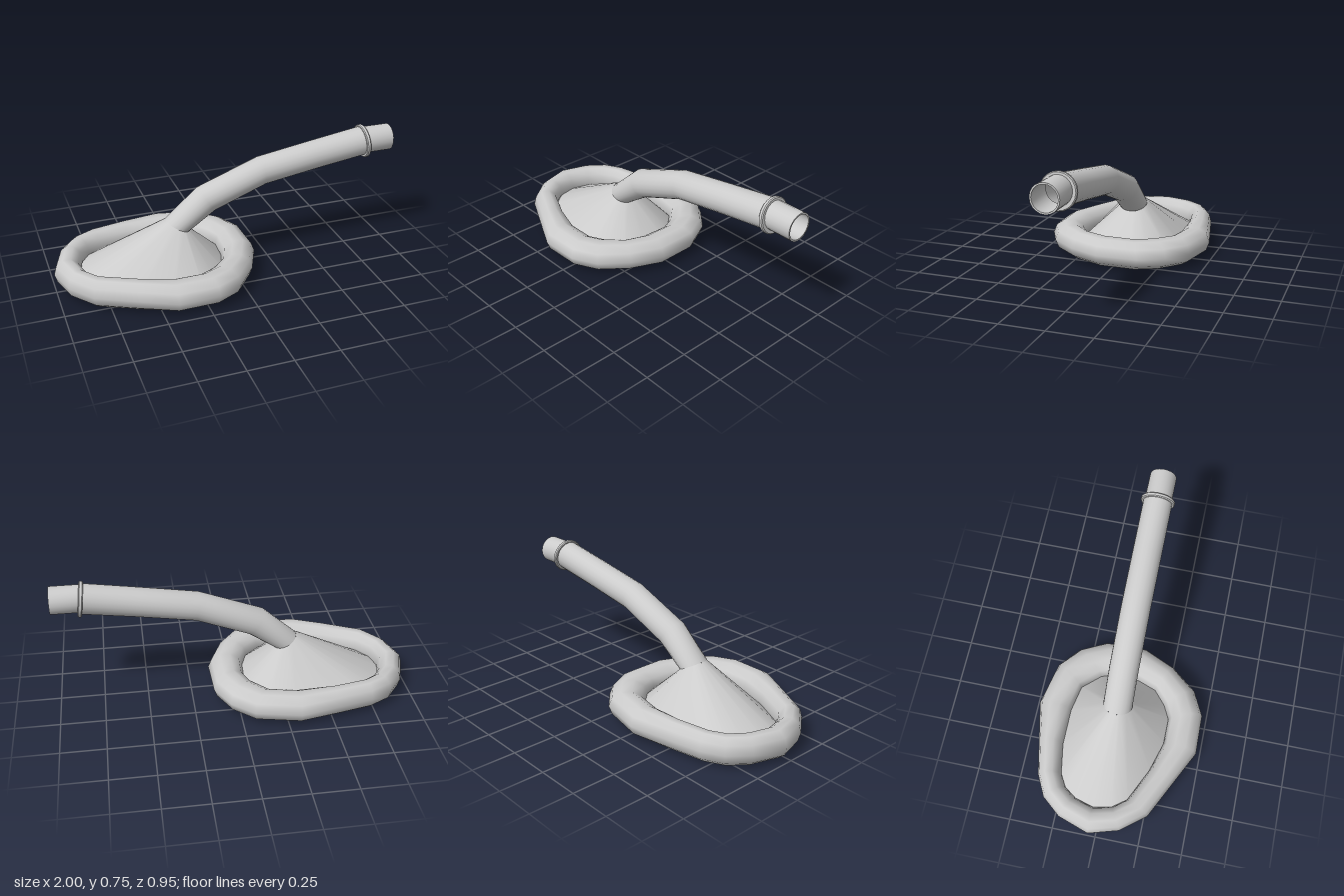
import * as THREE from 'three';
import { toCreasedNormals } from 'three/addons/utils/BufferGeometryUtils.js';

const material = new THREE.MeshStandardMaterial({ color: 0xcccccc, side: THREE.DoubleSide });
const AXIS_Z = -0.012;

// Skin a list of closed rings (arrays of [x, y, z]) with smooth normals
function loft(rings, closed = false) {
  const n = rings[0].length, index = [];
  const last = closed ? rings.length : rings.length - 1;
  for (let i = 0; i < last; i++) {
    for (let j = 0; j < n; j++) {
      const k = (i + 1) % rings.length, m = (j + 1) % n;
      const a = i * n + j, b = k * n + j, c = k * n + m, d = i * n + m;
      index.push(a, b, d, b, c, d);
    }
  }
  const g = new THREE.BufferGeometry();
  g.setAttribute('position', new THREE.Float32BufferAttribute(rings.flat(2), 3));
  g.setIndex(index);
  g.computeVertexNormals();
  return g;
}

// Outer and inner plan outline of the cushion: [xOut, zOut, xIn, zIn]
const outline = [
  [-1.0, -0.04, -0.85, -0.04], [-0.94, -0.22, -0.82, -0.15], [-0.85, -0.33, -0.77, -0.22],
  [-0.73, -0.39, -0.70, -0.26], [-0.52, -0.435, -0.53, -0.29], [-0.31, -0.48, -0.32, -0.29],
  [-0.06, -0.425, -0.17, -0.26], [0.06, -0.32, -0.08, -0.16], [0.135, -0.17, -0.05, -0.08],
  [0.14, 0.07, -0.06, 0.06], [0.06, 0.25, -0.10, 0.17], [-0.06, 0.40, -0.18, 0.24],
  [-0.20, 0.47, -0.26, 0.28], [-0.43, 0.475, -0.41, 0.28], [-0.61, 0.385, -0.58, 0.23],
  [-0.84, 0.27, -0.77, 0.14], [-0.95, 0.13, -0.83, 0.06],
];

// Tube cross-sections: [xUpper, yUpper, xLower, yLower]
const sections = [
  [-0.36, 0.33, -0.23, 0.26], [-0.17, 0.50, -0.08, 0.36], [0.19, 0.635, 0.22, 0.475],
  [0.52, 0.688, 0.54, 0.525], [0.825, 0.735, 0.845, 0.567],
];

// Point on a tube section at angle a, starting from its lower edge
function sectionPoint([xu, yu, xl, yl], a) {
  const c = Math.cos(a) / 2;
  return [(xu + xl) / 2 + c * (xl - xu), (yu + yl) / 2 + c * (yl - yu), AXIS_Z + 0.083 * Math.sin(a)];
}

// Turned part lying along the x axis, profile given as [radius, along]
function turned(profile, x, y, tilt = 0) {
  const lathe = new THREE.LatheGeometry(profile.map(p => new THREE.Vector2(...p)), 20);
  const mesh = new THREE.Mesh(toCreasedNormals(lathe, 0.5), material);
  mesh.position.set(x, y, AXIS_Z);
  mesh.rotation.z = -Math.PI / 2 + tilt;
  return mesh;
}

export function createModel() {
  const group = new THREE.Group();
  const add = (name, mesh) => { mesh.name = name; group.add(mesh); };

  // Puffy ring around the base
  const cushion = outline.map(([xo, zo, xi, zi]) => Array.from({ length: 10 }, (_, j) => {
    const a = -j * Math.PI * 2 / 10, c = Math.cos(a) / 2;
    return [(xo + xi) / 2 + c * (xo - xi), 0.09 + 0.084 * Math.sin(a), (zo + zi) / 2 + c * (zo - zi)];
  }));
  add('cushion', new THREE.Mesh(loft(cushion, true), material));

  // Open conical shell rising from the rim to the tube neck
  const rim = (y, s) => outline.map(([, , x, z]) => [-0.44 + (x + 0.44) * s, y, z * s]);
  const neck = outline.map(([, , x, z]) => sectionPoint(sections[0], Math.atan2(z - AXIS_Z, x + 0.35)));
  add('shell', new THREE.Mesh(loft([rim(0.06, 1.07), neck]), material));
  add('shellRim', new THREE.Mesh(loft([rim(0, 1.05), rim(0.06, 1.07)]), material));

  // Bent tube
  const tube = sections.map(s => Array.from({ length: 20 }, (_, j) => sectionPoint(s, j * Math.PI / 10)));
  add('tube', new THREE.Mesh(loft(tube), material));

  // Collar and hollow connector at the tube's end
  add('collar', turned([[0.074, -0.012], [0.093, -0.012], [0.098, -0.007], [0.098, 0.007],
    [0.093, 0.012], [0.074, 0.012], [0.074, -0.012]], 0.836, 0.648, 0.12));
  add('connector', turned([[0.077, 0], [0.077, 0.17], [0.068, 0.17], [0.068, 0], [0.077, 0]], 0.83, 0.653));

  return group;
}
